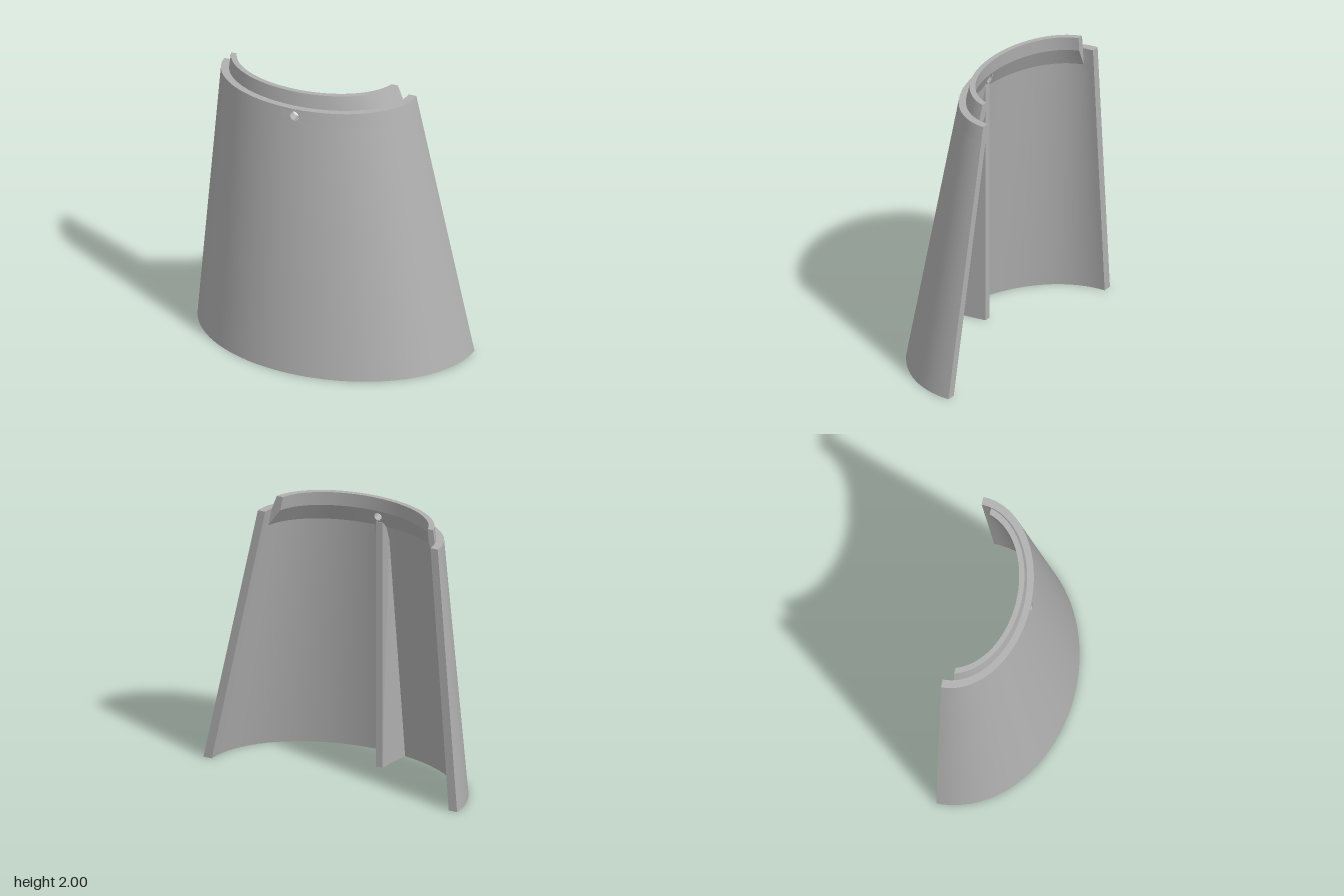
import * as THREE from 'three';
import { mergeGeometries, mergeVertices } from 'three/addons/utils/BufferGeometryUtils.js';

const BACK = -0.38, COLS = 48, HOLE = { y: 1.85, r: 0.032, cols: 2 };

// A ring is half an ellipse: height, centre x, half width, front z, z of its two ends
const ring = (y, cx, rx, front, end = BACK) => ({ y, cx, rx, front, end });

const mix = (a, b, v) => {
  const r = {};
  for (const k in a) r[k] = a[k] + (b[k] - a[k]) * v;
  return r;
};

// Point on a ring, u running from the +x end over the front to the -x end
function at(r, u) {
  const rz = r.front - BACK;
  const t0 = Math.asin((r.end - BACK) / rz);
  const t = t0 + (Math.PI - 2 * t0) * u;
  return new THREE.Vector3(r.cx + r.rx * Math.cos(t), r.y, BACK + rz * Math.sin(t));
}

function fromQuads(quads) {
  const p = [];
  for (const [a, b, c, d] of quads) for (const v of [a, b, c, a, c, d]) p.push(v.x, v.y, v.z);
  const flat = new THREE.BufferGeometry();
  flat.setAttribute('position', new THREE.Float32BufferAttribute(p, 3));
  const g = mergeVertices(flat, 1e-5);
  g.computeVertexNormals();
  return g;
}

// Curved strip between two rings, optionally pierced by the round hole
function band(r0, r1, pierced = false) {
  const P = (u, v) => at(r0, u).lerp(at(r1, u), v);
  const quads = [];
  for (let i = 0; i < COLS; i++) {
    if (pierced && Math.abs(i + 0.5 - COLS / 2) < HOLE.cols) continue;
    const a = i / COLS, b = (i + 1) / COLS;
    quads.push([P(a, 0), P(a, 1), P(b, 1), P(b, 0)]);
  }
  if (pierced) {
    const N = 32, vc = (HOLE.y - r0.y) / (r1.y - r0.y);
    const rv = HOLE.r / Math.abs(r1.y - r0.y);
    const ru = HOLE.r / (Math.PI * mix(r0, r1, vc).rx);
    const edge = k => {
      const t = (k / N) * Math.PI * 2, c = Math.cos(t), s = Math.sin(t);
      const m = Math.max(Math.abs(c), Math.abs(s));
      return [
        P(0.5 + ru * c, vc + rv * s),
        P(0.5 + (c / m) * HOLE.cols / COLS, 0.5 + 0.5 * s / m),
      ];
    };
    for (let k = 0; k < N; k++) {
      const [i0, o0] = edge(k), [i1, o1] = edge(k + 1);
      quads.push([i0, i1, o1, o0]);
    }
  }
  return fromQuads(quads);
}

// Flat faces closing both ends of a looped section
function endCaps(rings) {
  const quads = [];
  for (const u of [0, 1]) {
    const p = rings.map(r => at(r, u));
    for (let i = 1; i < p.length - 1; i++) {
      const tri = [p[0], p[i], p[i + 1]];
      if (u === 0) tri.reverse();
      quads.push([...tri, tri[0]]);
    }
  }
  return fromQuads(quads);
}

export function createModel() {
  const group = new THREE.Group();
  const grey = new THREE.MeshStandardMaterial({ color: 0xb0b0b0 });
  grey.name = 'grey';
  const add = (name, geometry) => {
    const mesh = new THREE.Mesh(geometry, grey);
    mesh.name = name;
    group.add(mesh);
  };

  // Leaning half-cone shell
  const o0 = ring(0, 0, 0.99, 0.378), o1 = ring(1.9, -0.137, 0.702, 0.095);
  const i0 = ring(0, 0, 0.925, 0.318), i1 = ring(1.9, -0.137, 0.645, 0.05);
  const split = 1.8 / 1.9;
  const om = mix(o0, o1, split), im = mix(i0, i1, split);
  add('shell', mergeGeometries([
    band(o0, om), band(om, o1, true), band(o1, i1),
    band(i1, im, true), band(im, i0), band(i0, o0),
    endCaps([o0, o1, i1, i0]),
  ]));

  // Narrower lip rising from the inside of the rim
  const END = -0.305;
  const base = { ...mix(i0, i1, 1.77 / 1.9), end: END };
  const l0 = ring(1.9, -0.137, 0.645, 0.05, END);
  const l1 = ring(2, -0.15, 0.62, 0.035, END);
  const l2 = ring(2, -0.152, 0.577, 0, END);
  const l3 = ring(1.9, -0.147, 0.59, 0.008, END);
  add('rimLip', mergeGeometries([
    band(l0, l1), band(l1, l2), band(l2, l3), band(l3, base, true),
    endCaps([l0, l1, l2, l3, base]),
  ]));

  // Lining of the round hole, facing inward
  const lining = new THREE.CylinderGeometry(HOLE.r, HOLE.r, 0.066, 32, 1, true);
  lining.rotateX(Math.PI / 2).scale(-1, 1, 1).translate(-0.138, HOLE.y, 0.068);
  lining.computeVertexNormals();
  add('holeLining', lining);

  // Upright inner rib, wider where it meets the leaning wall
  const rib = new THREE.BoxGeometry(1, 1, 1).toNonIndexed();
  const pos = rib.attributes.position;
  for (let i = 0; i < pos.count; i++) {
    const top = pos.getY(i) > 0, wall = pos.getZ(i) > 0;
    pos.setXYZ(i,
      -0.138 + pos.getX(i) * (wall ? 0.13 : 0.05),
      top ? 1.8 : 0,
      wall ? (top ? 0.08 : 0.345) : 0.05);
  }
  rib.computeVertexNormals();
  add('innerRib', rib);

  return group;
}
